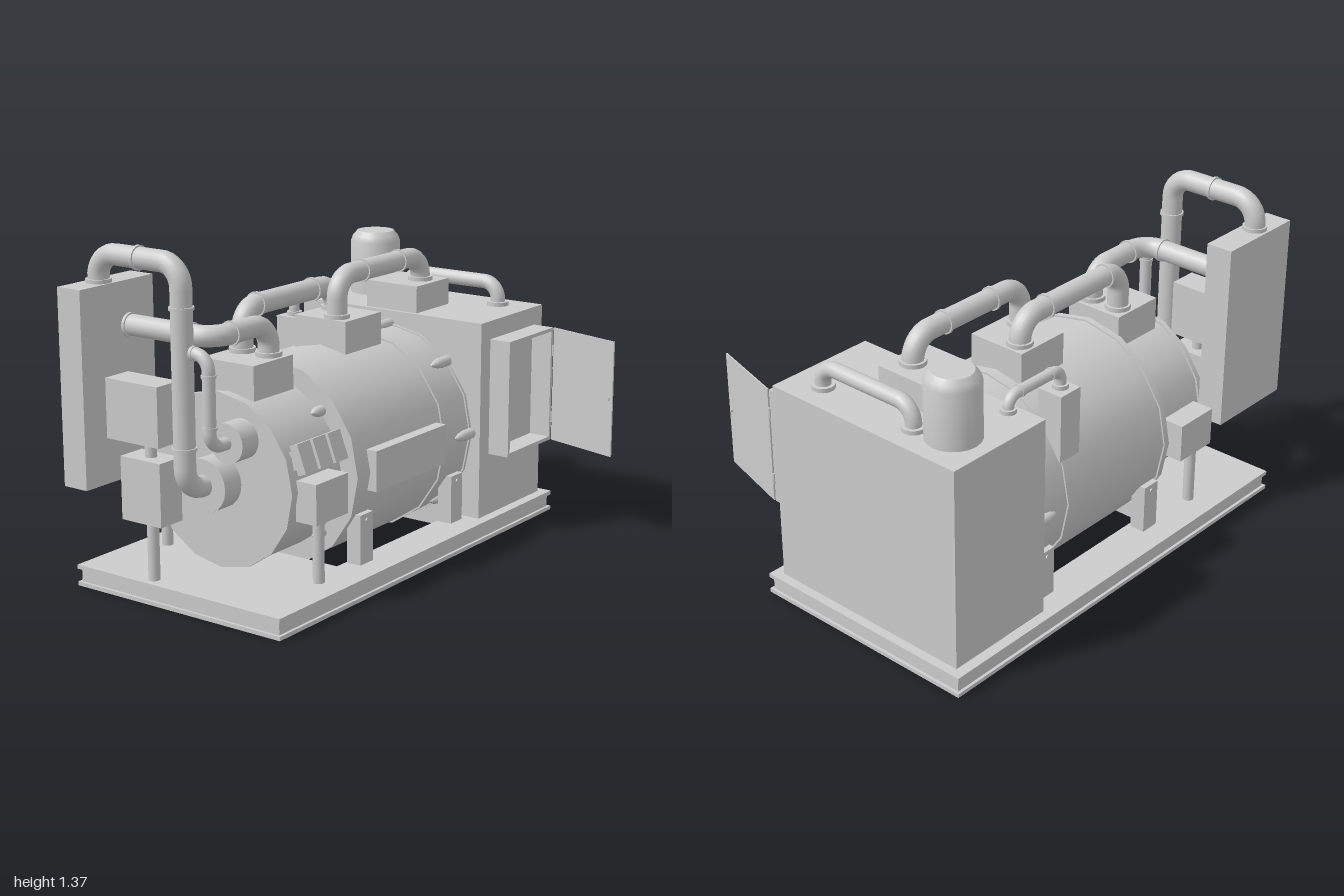
import * as THREE from 'three';
import { toCreasedNormals } from 'three/addons/utils/BufferGeometryUtils.js';

const V = (x, y, z) => new THREE.Vector3(x, y, z);

export function createModel() {
  const root = new THREE.Group();
  const mat = new THREE.MeshStandardMaterial({ color: 0xcccccc });
  const thin = new THREE.MeshStandardMaterial({ color: 0xcccccc, side: THREE.DoubleSide });

  const add = (name, geo, parent = root, material = mat) => {
    const m = new THREE.Mesh(geo, material);
    m.name = name;
    parent.add(m);
    return m;
  };
  const box = (name, x0, x1, y0, y1, z0, z1, parent = root) => {
    const m = add(name, new THREE.BoxGeometry(x1 - x0, y1 - y0, z1 - z0), parent);
    m.position.set((x0 + x1) / 2, (y0 + y1) / 2, (z0 + z1) / 2);
    return m;
  };
  // Solid cylinder from point a to point b
  const rod = (name, a, b, r, sides = 16, parent = root) => {
    const m = add(name, new THREE.CylinderGeometry(r, r, a.distanceTo(b), sides), parent);
    m.position.copy(a).lerp(b, 0.5);
    m.quaternion.setFromUnitVectors(V(0, 1, 0), b.clone().sub(a).normalize());
    return m;
  };
  // Horizontal slab with a rectangular hole
  const rectRing = (name, o, h, y0, y1) => {
    const s = new THREE.Shape();
    s.moveTo(o[0], -o[3]).lineTo(o[1], -o[3]).lineTo(o[1], -o[2]).lineTo(o[0], -o[2]).closePath();
    const p = new THREE.Path();
    p.moveTo(h[0], -h[3]).lineTo(h[0], -h[2]).lineTo(h[1], -h[2]).lineTo(h[1], -h[3]).closePath();
    s.holes.push(p);
    const g = new THREE.ExtrudeGeometry(s, { depth: y1 - y0, bevelEnabled: false });
    g.rotateX(-Math.PI / 2).translate(0, y0, 0);
    return add(name, g);
  };
  // Pipe through corner points with rounded elbows; collars are [segment, fraction]
  const pipe = (name, pts, r, bend, collars = []) => {
    const g = new THREE.Group();
    g.name = name;
    root.add(g);
    const path = new THREE.CurvePath();
    let from = pts[0];
    for (let i = 1; i < pts.length - 1; i++) {
      const p = pts[i];
      const a = p.clone().add(pts[i - 1].clone().sub(p).setLength(bend));
      const b = p.clone().add(pts[i + 1].clone().sub(p).setLength(bend));
      path.add(new THREE.LineCurve3(from, a));
      path.add(new THREE.CubicBezierCurve3(a, a.clone().lerp(p, 0.55), b.clone().lerp(p, 0.55), b));
      from = b;
    }
    path.add(new THREE.LineCurve3(from, pts[pts.length - 1]));
    add('pipeRun', new THREE.TubeGeometry(path, 72, r, 16), g, thin);
    for (const [i, t] of collars) {
      const c = pts[i].clone().lerp(pts[i + 1], t);
      const d = pts[i + 1].clone().sub(pts[i]).setLength(0.006);
      rod('collar', c.clone().sub(d), c.clone().add(d), r * 1.15, 16, g);
    }
    return g;
  };
  const flange = (x, y, z, r) => rod('pipeFlange', V(x, y - 0.005, z), V(x, y + 0.015, z), r);

  // Base: plate with a well, channel section rim and well frame
  const inset = (o, d) => [o[0] + d, o[1] - d, o[2] + d, o[3] - d];
  const outer = [-0.7, 0.3, -1, 0.915], well = [-0.52, 0.13, -0.5, 0.34];
  rectRing('basePlate', outer, well, 0.068, 0.085);
  rectRing('baseWeb', inset(outer, 0.012), inset(outer, 0.024), 0.015, 0.07);
  rectRing('baseLowerFlange', outer, inset(outer, 0.035), 0, 0.016);
  rectRing('wellFrame', inset(well, -0.015), well, 0.012, 0.07);

  // Rear cabinet
  box('cabinet', -0.656, 0.256, 0.085, 0.917, -0.962, -0.482);

  // Hatch surround and open door
  const hatch = new THREE.Group();
  hatch.name = 'hatch';
  root.add(hatch);
  for (const [y0, y1] of [[0.35, 0.365], [0.825, 0.84]]) box('hatchRail', 0.25, 0.35, y0, y1, -0.9, -0.552, hatch);
  for (const [z0, z1] of [[-0.9, -0.885], [-0.567, -0.552]]) box('hatchStile', 0.25, 0.35, 0.365, 0.825, z0, z1, hatch);
  const door = new THREE.Group();
  door.name = 'door';
  door.position.set(0.353, 0.595, -0.9);
  door.rotation.y = -0.259;
  root.add(door);
  box('doorPanel', 0.002, 0.35, -0.245, 0.245, -0.003, 0.003, door);
  box('doorHandle', 0.325, 0.335, -0.006, 0.006, -0.01, 0.01, door);
  for (const y of [-0.145, 0.145]) rod('hinge', V(0, y - 0.022, 0), V(0, y + 0.022, 0), 0.007, 8, door);

  // Domed unit on the cabinet
  const dome = [[0, 0.91], [0.107, 0.91], [0.107, 1.145], [0.098, 1.168], [0.08, 1.188], [0, 1.19]];
  const domeMesh = add('domedUnit', toCreasedNormals(
    new THREE.LatheGeometry(dome.map(p => new THREE.Vector2(...p)), 20), 0.6));
  domeMesh.position.set(-0.494, 0, -0.79);

  // Drum in two diameters with raised bands
  const CX = -0.2, CY = 0.45;
  const disc = (name, r, z0, z1, x = CX, y = CY, sides = 16) => {
    const g = new THREE.CylinderGeometry(r, r, z1 - z0, sides).rotateX(Math.PI / 2);
    add(name, g).position.set(x, y, (z0 + z1) / 2);
  };
  disc('mainDrum', 0.41, -0.485, 0.31);
  disc('frontDrum', 0.34, 0.3, 0.63);
  for (const [z0, z1] of [[-0.482, -0.47], [-0.295, -0.28], [0.295, 0.322]]) disc('drumBand', 0.417, z0, z1);
  disc('frontDrumRim', 0.349, 0.62, 0.642);
  disc('lowerBurner', 0.106, 0.63, 0.737, CX, CY, 20);
  disc('upperBurner', 0.078, 0.63, 0.737, -0.085, 0.635, 20);

  // Pointed lugs around the drum
  const lug = (r, z, len, rad) => {
    const prof = [[rad, 0], [rad, 0.5 * len], [rad * 0.75, 0.75 * len], [rad * 0.35, 0.93 * len], [0, len]];
    const geo = new THREE.LatheGeometry(prof.map(p => new THREE.Vector2(...p)), 10).rotateX(Math.PI / 2);
    for (let i = 0; i < 8; i++) {
      const a = i * Math.PI / 4;
      add('drumLug', geo).position.set(CX + r * Math.cos(a), CY + r * Math.sin(a), z);
    }
  };
  lug(0.412, -0.482, 0.12, 0.023);
  lug(0.346, 0.315, 0.07, 0.022);

  // Drum feet, side cabinets on posts: mirrored about the drum axis
  for (const s of [-1, 1]) {
    const X = d => CX + s * d;
    const mbox = (n, a, b, ...rest) => box(n, Math.min(X(a), X(b)), Math.max(X(a), X(b)), ...rest);
    for (const z of [0.24, -0.398]) {
      mbox('drumFoot', 0.335, 0.4, 0.05, 0.288, z - 0.041, z + 0.041);
      rod('footBolt', V(X(0.39), 0.262, z), V(X(0.405), 0.262, z), 0.008, 10);
    }
    mbox('sideBox', 0.33, 0.425, 0.335, 0.495, 0.395, 0.595);
    rod('sideBoxPost', V(X(0.38), 0.05, 0.523), V(X(0.38), 0.34, 0.523), 0.023);
  }

  // Drum side panel and the row of three blocks
  box('sidePanel', 0.08, 0.24, 0.378, 0.542, -0.252, 0.23);
  for (let i = 0; i < 3; i++) {
    const g = new THREE.Group();
    g.name = 'terminalBlock';
    g.position.set(CX, CY, 0.39 + i * 0.094);
    g.rotation.z = 0.36;
    root.add(g);
    box('blockBody', 0.362, 0.4, -0.058, 0.058, -0.039, 0.039, g);
    box('blockMount', 0.325, 0.364, -0.035, 0.035, -0.02, 0.02, g);
  }

  // Manifold boxes along the top
  box('rearManifold', -0.33, -0.075, 0.9, 1.03, -0.738, -0.498);
  box('middleManifold', -0.33, -0.075, 0.8, 0.968, -0.24, 0.002);
  box('frontManifold', -0.33, -0.075, 0.72, 0.902, 0.342, 0.583);
  box('dosingBox', -0.575, -0.465, 0.62, 0.9, -0.3, -0.19);

  // Tall exhaust box and control boxes on a post
  box('exhaustBox', -0.667, -0.553, 0.432, 1.203, 0.6, 1);
  box('upperControlBox', -0.505, -0.25, 0.632, 0.866, 0.805, 0.93);
  box('lowerControlBox', -0.445, -0.25, 0.323, 0.572, 0.805, 0.925);
  rod('controlPost', V(-0.345, 0.05, 0.865), V(-0.345, 0.64, 0.865), 0.023);

  // Large pipe from the exhaust box over and down to the lower burner
  pipe('crossoverPipe', [V(-0.607, 1.2, 0.84), V(-0.607, 1.317, 0.84), V(-0.2, 1.317, 0.84),
    V(-0.2, 0.453, 0.84), V(-0.2, 0.453, 0.72)], 0.042, 0.09, [[1, 0.5], [2, 0.19], [2, 0.806]]);
  flange(-0.607, 1.203, 0.84, 0.05);
  // Branch pipe to the upper burner
  pipe('branchPipe', [V(-0.2, 0.988, 0.83), V(-0.085, 0.988, 0.83), V(-0.085, 0.637, 0.83),
    V(-0.085, 0.637, 0.72)], 0.025, 0.06, [[0, 0.4], [1, 0.22], [1, 0.78]]);
  // Return pipe from the front manifold to the exhaust box
  pipe('returnPipe', [V(-0.56, 1.03, 0.74), V(-0.14, 1.03, 0.74), V(-0.14, 1.03, 0.41),
    V(-0.14, 0.89, 0.41)], 0.042, 0.09, [[0, 0.04], [0, 0.77], [1, 0.32]]);
  flange(-0.14, 0.905, 0.41, 0.053);
  // Pipes linking the manifolds
  pipe('frontLinkPipe', [V(-0.267, 0.89, 0.413), V(-0.267, 1.073, 0.413), V(-0.267, 1.073, -0.178),
    V(-0.267, 0.95, -0.178)], 0.043, 0.09, [[1, 0.15], [1, 0.75]]);
  flange(-0.267, 0.905, 0.413, 0.053);
  flange(-0.267, 0.97, -0.178, 0.053);
  pipe('rearLinkPipe', [V(-0.155, 0.95, -0.05), V(-0.155, 1.135, -0.05), V(-0.155, 1.135, -0.64),
    V(-0.155, 1.02, -0.64)], 0.042, 0.09, [[1, 0.28], [1, 0.72]]);
  flange(-0.155, 0.97, -0.05, 0.053);
  flange(-0.155, 1.032, -0.64, 0.053);
  // Slim pipes on the cabinet roof
  pipe('roofPipe', [V(-0.353, 0.91, -0.845), V(-0.353, 1.012, -0.845), V(0.107, 1.012, -0.845),
    V(0.107, 0.91, -0.845)], 0.031, 0.07);
  flange(-0.353, 0.919, -0.845, 0.046);
  flange(0.107, 0.919, -0.845, 0.046);
  pipe('dosingPipe', [V(-0.52, 0.91, -0.53), V(-0.52, 0.978, -0.53), V(-0.52, 0.978, -0.24),
    V(-0.52, 0.89, -0.24)], 0.022, 0.045, [[1, 0.22], [1, 0.8]]);
  flange(-0.52, 0.919, -0.53, 0.032);
  flange(-0.52, 0.902, -0.24, 0.032);

  return root;
}
